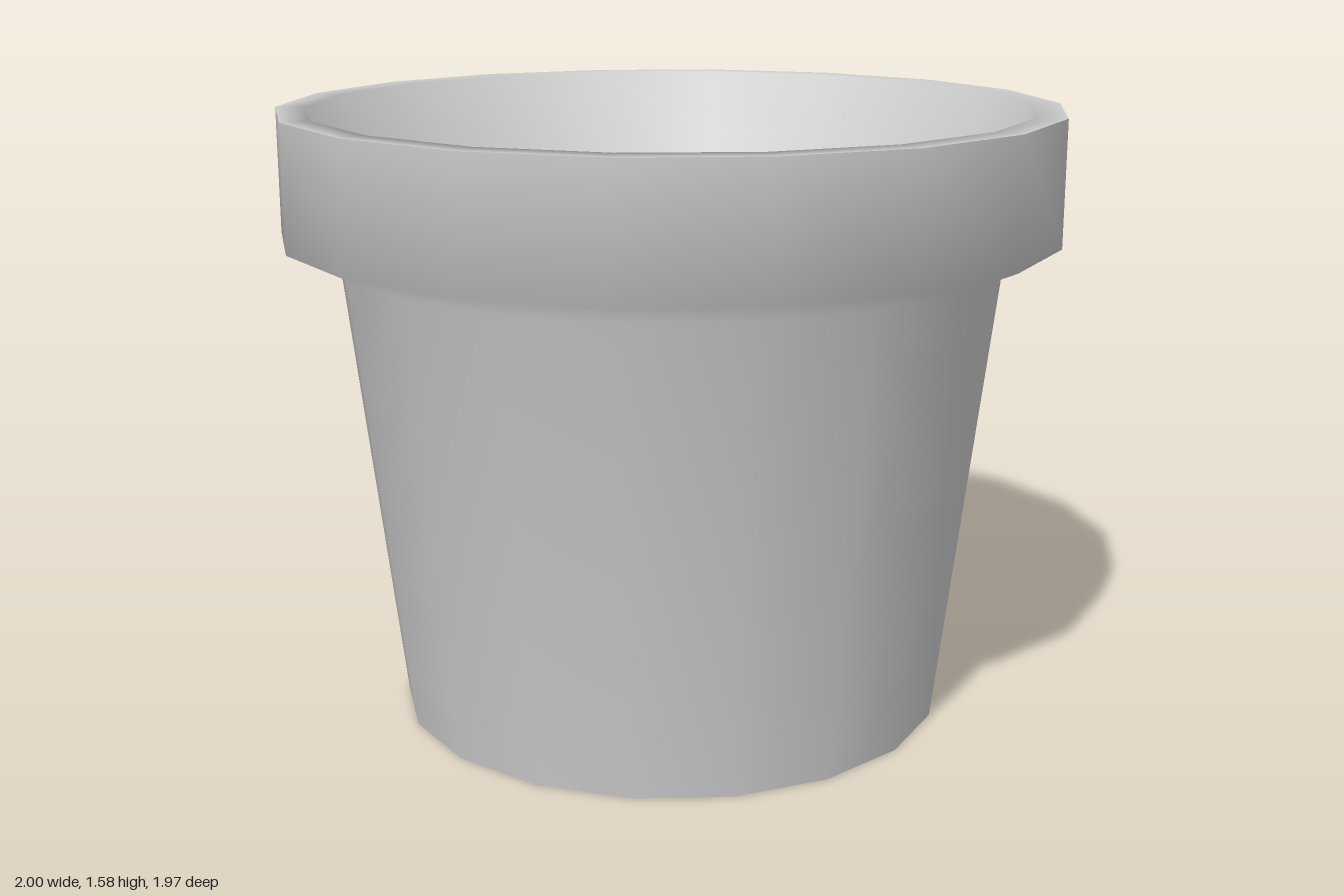
import * as THREE from 'three';

const SIDES = 18;

export function createModel() {
  const group = new THREE.Group();
  group.name = 'flowerPot';
  const material = new THREE.MeshStandardMaterial({ color: 0xcccccc });

  const addLathe = (name, profile) => {
    const points = profile.map(([r, y]) => new THREE.Vector2(r, y));
    const mesh = new THREE.Mesh(new THREE.LatheGeometry(points, SIDES, Math.PI / 2), material);
    mesh.name = name;
    group.add(mesh);
    return mesh;
  };

  // Tapered body with a flared collar
  addLathe('potBody', [[0.715, 0], [0.857, 1.2], [1, 1.262], [1, 1.58]]);

  // Rim, lip and deep tapering hollow
  const inside = [[1, 1.58], [0.925, 1.58], [0.88, 1.415], [0, 0.08]];
  const hollow = addLathe('rimAndHollow', inside);

  // Smooth shading across the bottom point of the hollow
  const { normal } = hollow.geometry.attributes;
  for (let i = inside.length - 1; i < normal.count; i += inside.length) normal.setXYZ(i, 0, 1, 0);

  // Flat underside
  const base = new THREE.Mesh(new THREE.CircleGeometry(0.715, SIDES).rotateX(Math.PI / 2), material);
  base.name = 'base';
  group.add(base);

  return group;
}
